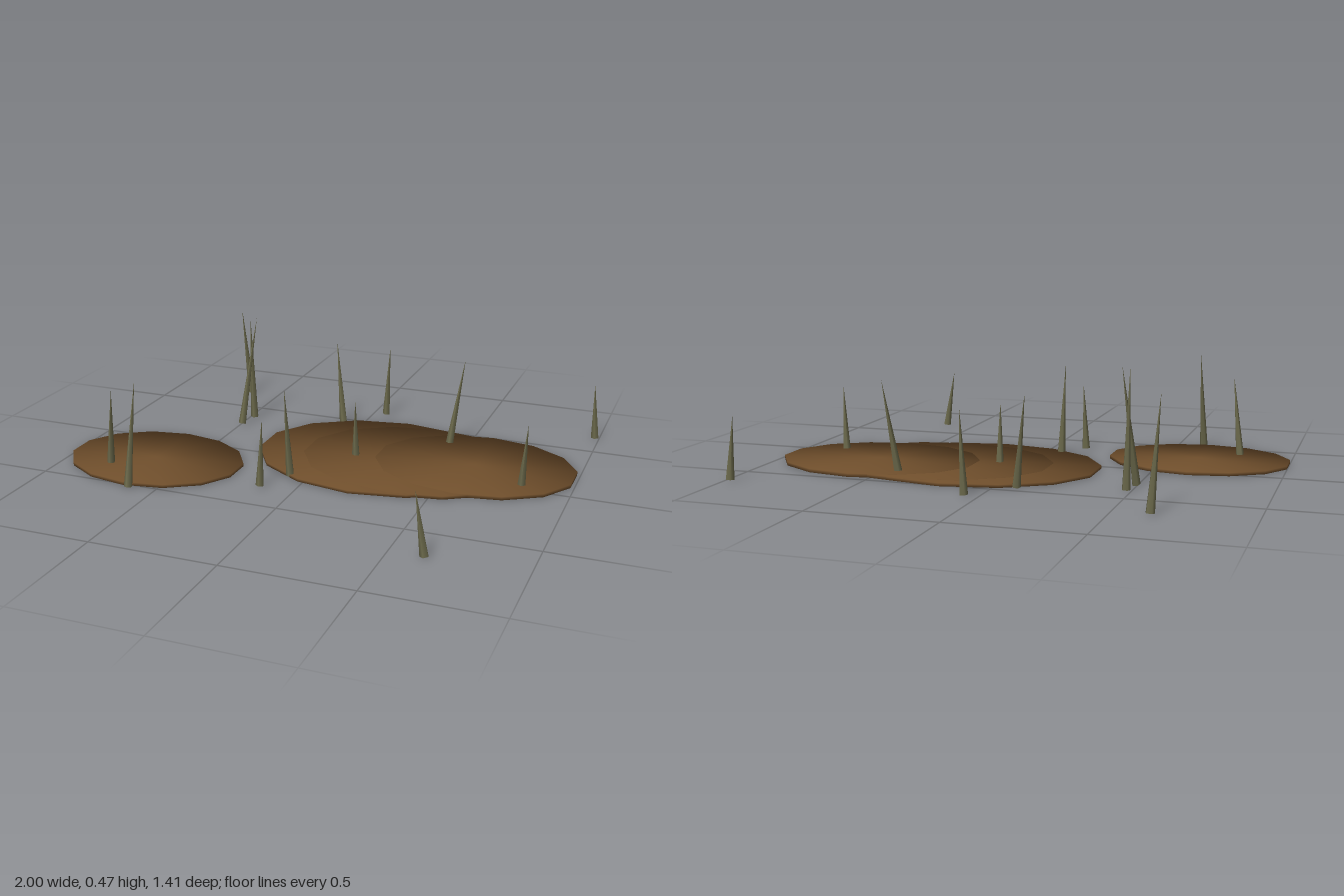
import * as THREE from 'three';

const soil = new THREE.MeshStandardMaterial({ color: 0x704f2c });
soil.name = 'brown soil';
const reed = new THREE.MeshStandardMaterial({ color: 0x6c6a4c });
reed.name = 'dull olive reed';

// Thin oval disc with soft rounded shading: only positions are squashed
function mudPatch(x, z, radius, height) {
  const profile = [[0, 0], [1, 0], [1, 1.5], [0, 1.5]].map(([a, b]) => new THREE.Vector2(a, b));
  const geometry = new THREE.LatheGeometry(profile, 14);
  const p = geometry.attributes.position;
  for (let i = 0; i < p.count; i++) {
    p.setXYZ(i, p.getX(i) * radius, p.getY(i) / 1.5 * height, p.getZ(i) * radius * 0.768);
  }
  const mesh = new THREE.Mesh(geometry, soil);
  mesh.position.set(x, 0, z);
  mesh.name = 'mudPatch';
  return mesh;
}

// Slender cone leaning from its foot to its tip
function reedSpike([x, z, tipX, tipY, tipZ]) {
  const foot = new THREE.Vector3(x, 0.004, z);
  const tip = new THREE.Vector3(tipX, tipY, tipZ);
  const axis = tip.clone().sub(foot);
  const mesh = new THREE.Mesh(new THREE.ConeGeometry(0.017, axis.length(), 5), reed);
  mesh.position.copy(foot).add(tip).multiplyScalar(0.5);
  mesh.quaternion.setFromUnitVectors(new THREE.Vector3(0, 1, 0), axis.normalize());
  mesh.name = 'reedSpike';
  return mesh;
}

export function createModel() {
  const model = new THREE.Group();
  model.name = 'marshReeds';

  // Mud: centre x, centre z, radius, height
  const mud = new THREE.Group();
  mud.name = 'mud';
  [
    [-0.642, 0.23, 0.366, 0.013],
    [0.2, -0.12, 0.513, 0.012],
    [0.35, -0.125, 0.47, 0.013],
    [0.587, -0.157, 0.409, 0.014],
  ].forEach((m) => mud.add(mudPatch(...m)));

  // Reeds: foot x, foot z, tip x, tip y, tip z
  const reeds = new THREE.Group();
  reeds.name = 'reeds';
  [
    [-0.79, 0.345, -0.755, 0.33, 0.373],
    [-0.635, -0.69, -0.66, 0.41, -0.655],
    [-0.61, 0.525, -0.603, 0.41, 0.45],
    [-0.48, -0.38, -0.49, 0.47, -0.373],
    [-0.495, -0.28, -0.46, 0.46, -0.375],
    [-0.14, 0.33, -0.13, 0.275, 0.325],
    [-0.085, -0.455, -0.13, 0.36, -0.492],
    [-0.07, 0.193, -0.08, 0.37, 0.223],
    [0.057, -0.627, 0.07, 0.315, -0.627],
    [0.105, -0.088, 0.108, 0.25, -0.065],
    [0.425, -0.36, 0.47, 0.37, -0.403],
    [0.632, 0.69, 0.597, 0.25, 0.7],
    [0.808, -0.02, 0.828, 0.27, 0.005],
    [0.982, -0.66, 0.969, 0.245, -0.648],
  ].forEach((r) => reeds.add(reedSpike(r)));

  model.add(mud, reeds);
  return model;
}
